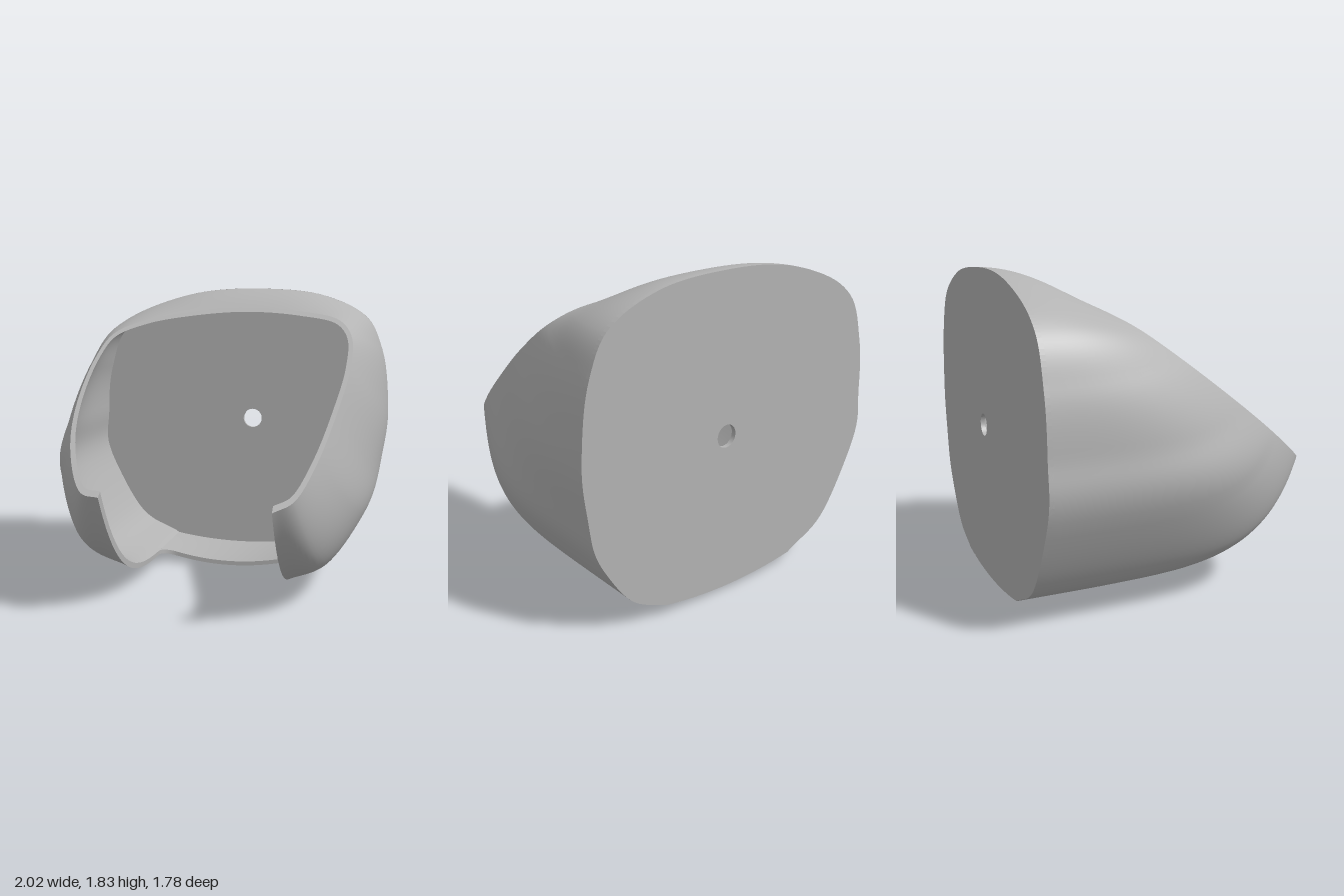
import * as THREE from 'three';

const BACK = -0.89, WALL = 0.027;
const SLOT_L = -0.46, SLOT_R = 0.475, SLOT_END = -0.43, SLOT_RADIUS = 0.1;

// Matching stations around the hood, from the right slot edge over the top to the left one:
// [opening x, opening y, back x, back y, fullness of the curve between them]
const stations = [
  [SLOT_R, 0.67, SLOT_R, 0.07, 5], [0.58, 0.72, 0.70, 0.18, 5.6], [0.67, 0.88, 0.88, 0.42, 5],
  [0.75, 1.13, 0.97, 0.72, 3.4], [0.795, 1.35, 1.0, 1.05, 2.6], [0.785, 1.52, 0.95, 1.43, 2.2],
  [0.70, 1.62, 0.85, 1.635, 2.2], [0.45, 1.675, 0.55, 1.785, 2.1], [0.10, 1.70, 0.12, 1.83, 2.1],
  [-0.25, 1.675, -0.30, 1.805, 2.1], [-0.55, 1.62, -0.65, 1.70, 2.1], [-0.74, 1.53, -0.86, 1.56, 2.4],
  [-0.795, 1.38, -0.965, 1.30, 3], [-0.79, 1.12, -1.0, 0.98, 4], [-0.72, 0.91, -0.96, 0.60, 5.5],
  [-0.57, 0.72, -0.76, 0.25, 5.6], [SLOT_L, 0.70, SLOT_L, 0.07, 5],
];
const rimCurve = new THREE.CatmullRomCurve3(stations.map(s => new THREE.Vector3(s[0], s[1], 0)));
const backCurve = new THREE.CatmullRomCurve3(stations.map(s => new THREE.Vector3(s[2], s[3], s[4])));

// Point on a guide curve, moved inward by the given distance
function inset(curve, u, d) {
  const p = curve.getPoint(u);
  if (d === 0) return p;
  if (u < 1e-6 || u > 1 - 1e-6) { p.y += d; return p; }
  const a = curve.getPoint(Math.max(0, u - 0.002)), b = curve.getPoint(Math.min(1, u + 0.002));
  const tx = b.x - a.x, ty = b.y - a.y, len = Math.hypot(tx, ty) || 1;
  p.x -= ty / len * d;
  p.y += tx / len * d;
  return p;
}

// Hood wall: v = 0 lies on the slanted opening, v = 1 on the flat back
function hood(u, v, d) {
  const p = inset(rimCurve, u, d), b = inset(backCurve, u, d);
  const z0 = 0.89 - (p.y - 0.67) / 0.735;
  const t = Math.pow(v, 1.6), f = 1 - Math.pow(1 - t, b.z);
  return new THREE.Vector3(p.x + (b.x - p.x) * f, p.y + (b.y - p.y) * f, z0 + (BACK - z0) * t);
}

// Floor behind the slot, with rounded slot corners
const mid = (SLOT_L + SLOT_R) / 2, half = (SLOT_R - SLOT_L) / 2;
const floorBackY = x => 0.03 + 0.04 * ((x - mid) / half) ** 2;
function floor(u, v, d) {
  const x = mid - half * Math.cos(Math.PI * u);
  const gap = Math.min(SLOT_RADIUS, Math.max(0, half - Math.abs(x - mid)));
  const z0 = SLOT_END + SLOT_RADIUS - Math.sqrt(SLOT_RADIUS ** 2 - (SLOT_RADIUS - gap) ** 2);
  const z = z0 + (BACK - z0) * v;
  const yb = floorBackY(x), rest = (z - BACK) / 1.78;
  const sag = 0.03 * (1 - ((x - mid) / half) ** 2) * Math.max(0, 1 - ((z - SLOT_END) / 0.46) ** 2);
  return new THREE.Vector3(x, yb + (0.67 - yb) * rest ** 5 - sag + d, z);
}

// Smooth surface from a rule fn(u, v)
function surface(fn, nu, nv) {
  const pos = [], index = [];
  for (let i = 0; i <= nu; i++)
    for (let j = 0; j <= nv; j++) pos.push(...fn(i / nu, j / nv).toArray());
  for (let i = 0; i < nu; i++)
    for (let j = 0; j < nv; j++) {
      const a = i * (nv + 1) + j, b = a + nv + 1;
      index.push(a, a + 1, b, b, a + 1, b + 1);
    }
  const g = new THREE.BufferGeometry();
  g.setAttribute('position', new THREE.Float32BufferAttribute(pos, 3));
  g.setIndex(index);
  g.computeVertexNormals();
  return g;
}

export function createModel() {
  const group = new THREE.Group();
  group.name = 'hoodedHousing';
  const grey = new THREE.MeshStandardMaterial({ color: 0xb3b3b3, side: THREE.DoubleSide });
  grey.name = 'plain grey';
  const add = (name, geometry) => {
    const mesh = new THREE.Mesh(geometry, grey);
    mesh.name = name;
    group.add(mesh);
    return mesh;
  };
  const between = (fn, u, v, k) => fn(u, v, 0).lerp(fn(u, v, WALL), k);

  // Hood skins and the lip around the opening
  add('hoodOuter', surface((u, v) => hood(u, v, 0), 160, 40));
  add('hoodInner', surface((u, v) => hood(1 - u, v, WALL), 160, 40));
  add('openingLip', surface((u, k) => between(hood, 1 - u, 0, k), 160, 1));

  // Cut walls on both sides of the slot
  add('slotEdgeRight', surface((v, k) => between(hood, 0, v, k), 40, 1));
  add('slotEdgeLeft', surface((v, k) => between(hood, 1, 1 - v, k), 40, 1));

  // Floor skins and the rounded end of the slot
  add('floorOuter', surface((u, v) => floor(u, v, 0), 48, 12));
  add('floorInner', surface((u, v) => floor(1 - u, v, WALL), 48, 12));
  add('slotEnd', surface((u, k) => between(floor, 1 - u, 0, k), 48, 1));

  // Flat back plate with a round hole
  const outline = [];
  for (let i = 0; i <= 160; i++) {
    const p = backCurve.getPoint(i / 160);
    outline.push(new THREE.Vector2(p.x, p.y));
  }
  for (let i = 1; i < 24; i++) {
    const x = SLOT_L + (SLOT_R - SLOT_L) * i / 24;
    outline.push(new THREE.Vector2(x, floorBackY(x)));
  }
  const shape = new THREE.Shape(outline);
  shape.holes.push(new THREE.Path().absarc(0.075, 0.94, 0.064, 0, Math.PI * 2, true));
  const plate = new THREE.ExtrudeGeometry(shape, { depth: 0.027, bevelEnabled: false, curveSegments: 32 });
  add('backPlate', plate).position.z = BACK;

  return group;
}
